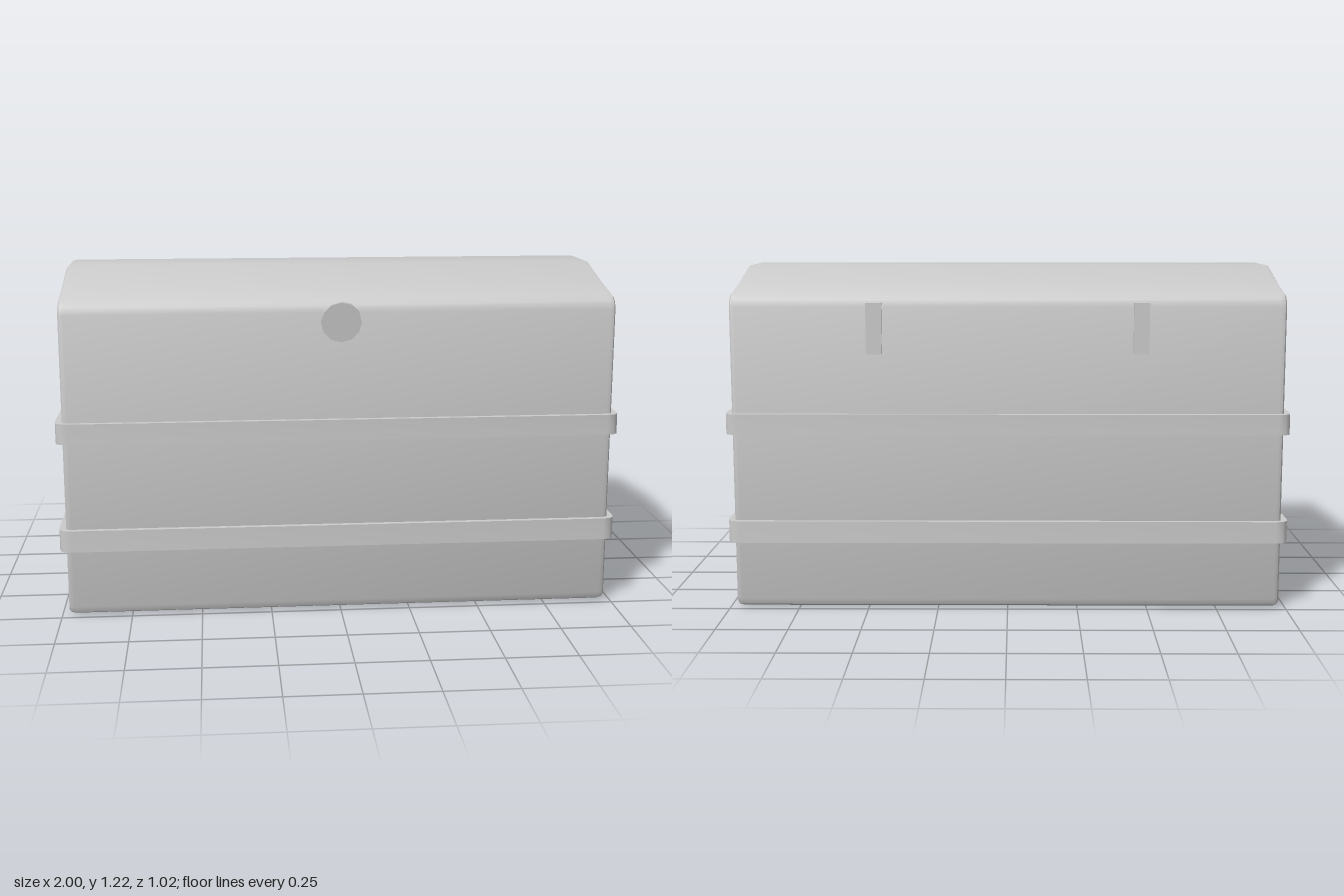
import * as THREE from 'three';
import { toCreasedNormals } from 'three/addons/utils/BufferGeometryUtils.js';

const grey = new THREE.MeshStandardMaterial({ color: 0xcccccc });

function part(name, geometry) {
  const mesh = new THREE.Mesh(geometry, grey);
  mesh.name = name;
  return mesh;
}

// Rectangle with rounded corners, traced as a Shape or Path
function roundedRect(path, hx, hy, r) {
  path.moveTo(hx - r, -hy);
  path.quadraticCurveTo(hx, -hy, hx, -hy + r);
  path.lineTo(hx, hy - r);
  path.quadraticCurveTo(hx, hy, hx - r, hy);
  path.lineTo(-hx + r, hy);
  path.quadraticCurveTo(-hx, hy, -hx, hy - r);
  path.lineTo(-hx, -hy + r);
  path.quadraticCurveTo(-hx, -hy, -hx + r, -hy);
  path.closePath();
  return path;
}

export function createModel() {
  const group = new THREE.Group();

  // Trunk body with crowned lid: end profile (z, y) swept along x, edges eased
  const half = [
    [0.45, 0], [0.478, 0.012], [0.488, 0.035],
    [0.488, 1.085], [0.479, 1.112], [0.455, 1.132],
    [0.30, 1.165], [0.105, 1.215],
  ];
  const outline = [...half, ...half.map(([z, y]) => [-z, y]).reverse()];
  const profile = new THREE.Shape(outline.map(([z, y]) => new THREE.Vector2(z, y)));
  const bevel = 0.02;
  const length = 1.95;
  let body = new THREE.ExtrudeGeometry(profile, {
    depth: length - 2 * bevel,
    bevelEnabled: true, bevelThickness: bevel, bevelSize: 0.012, bevelOffset: -0.012, bevelSegments: 2,
  });
  body.translate(0, 0, -length / 2 + bevel);
  body.rotateY(-Math.PI / 2);
  body = toCreasedNormals(body, 0.6);
  group.add(part('trunkBody', body));

  // Two straps wrapped around all four sides
  for (const [name, y, height] of [['lowerStrap', 0.245, 0.078], ['upperStrap', 0.635, 0.073]]) {
    const ring = roundedRect(new THREE.Shape(), 1.0, 0.508, 0.045);
    ring.holes.push(roundedRect(new THREE.Path(), 0.96, 0.475, 0.02));
    let strap = new THREE.ExtrudeGeometry(ring, { depth: height, bevelEnabled: false, curveSegments: 3 });
    strap.rotateX(-Math.PI / 2);
    strap.translate(0, y, 0);
    strap = toCreasedNormals(strap, 0.6);
    group.add(part(name, strap));
  }

  // Round latch plate, tilted slightly outward at the bottom
  const latch = part('latch', toCreasedNormals(new THREE.CylinderGeometry(0.071, 0.071, 0.022, 12), 0.6));
  latch.rotation.x = Math.PI / 2 + 0.1;
  latch.position.set(0, 1.053, 0.492);
  group.add(latch);

  // Pair of hinge plates on the back
  for (const side of [-1, 1]) {
    const hinge = part(side > 0 ? 'leftHinge' : 'rightHinge', new THREE.BoxGeometry(0.055, 0.18, 0.025));
    hinge.position.set(side * 0.468, 1.01, -0.488);
    group.add(hinge);
  }

  return group;
}
